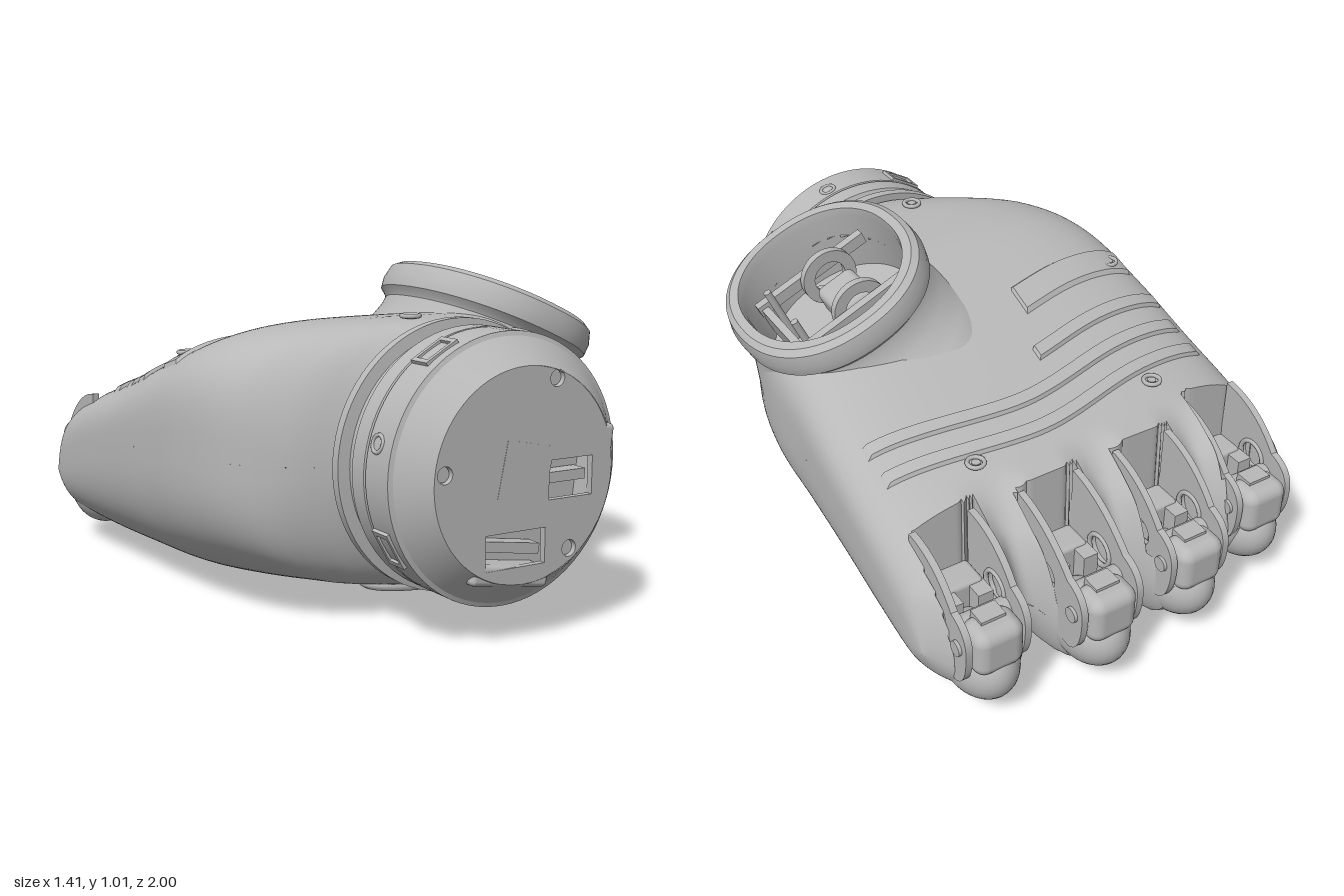
import * as THREE from 'three';
import { toCreasedNormals } from 'three/addons/utils/BufferGeometryUtils.js';
import { RoundedBoxGeometry } from 'three/addons/geometries/RoundedBoxGeometry.js';

// Smooth lookup in rows of [key, ...values] with rising keys
function lookup(rows, k) {
  const n = rows.length - 1;
  k = Math.min(Math.max(k, rows[0][0]), rows[n][0]);
  let i = 0;
  while (i < n - 1 && k > rows[i + 1][0]) i++;
  const a = rows[i], b = rows[i + 1], p = rows[Math.max(i - 1, 0)], q = rows[Math.min(i + 2, n)];
  const h = b[0] - a[0], t = (k - a[0]) / h, t2 = t * t, t3 = t2 * t;
  return a.slice(1).map((v, j) => {
    const w = b[j + 1];
    const ma = (w - p[j + 1]) / (b[0] - p[0]) * h, mb = (q[j + 1] - v) / (q[0] - a[0]) * h;
    return v * (2 * t3 - 3 * t2 + 1) + ma * (t3 - 2 * t2 + t) + w * (3 * t2 - 2 * t3) + mb * (t3 - t2);
  });
}

// Surface from a point rule f(u, v), with an optional rule for leaving cells out
function grid(nu, nv, f, skip) {
  const pos = [], idx = [];
  for (let j = 0; j <= nv; j++) for (let i = 0; i <= nu; i++) pos.push(...f(i / nu, j / nv));
  for (let j = 0; j < nv; j++) for (let i = 0; i < nu; i++) {
    const a = j * (nu + 1) + i, b = a + 1, c = a + nu + 1, d = c + 1;
    if (skip && skip(pos.slice(a * 3, a * 3 + 3))) continue;
    idx.push(a, b, d, a, d, c);
  }
  const g = new THREE.BufferGeometry();
  g.setAttribute('position', new THREE.Float32BufferAttribute(pos, 3));
  g.setIndex(idx);
  return toCreasedNormals(g, 0.6);
}
const smooth = t => { t = Math.min(1, Math.max(0, t)); return t * t * (3 - 2 * t); };

// Palm sections: z, right edge, left edge, bottom, top, seam height, squareness
const SECTIONS = [
  [-0.97, -0.64, 0.62, 0.10, 0.30, 0.20, 3.0], [-0.82, -0.675, 0.65, 0.055, 0.45, 0.23, 3.0],
  [-0.70, -0.70, 0.67, 0.03, 0.545, 0.29, 3.2], [-0.50, -0.705, 0.67, 0.008, 0.60, 0.36, 3.6],
  [-0.25, -0.70, 0.66, 0.005, 0.67, 0.42, 3.7], [0, -0.69, 0.65, 0.012, 0.765, 0.46, 3.8],
  [0.25, -0.67, 0.64, 0.045, 0.85, 0.48, 3.7], [0.45, -0.61, 0.585, 0.075, 0.87, 0.48, 3.3],
  [0.58, -0.49, 0.48, 0.085, 0.87, 0.48, 2.4], [0.64, -0.375, 0.395, 0.09, 0.86, 0.48, 2]];
// Fingers: x, start of the slot, tip
const FINGERS = [[-0.54, -0.51, -0.865], [-0.205, -0.61, -0.965], [0.14, -0.62, -1], [0.485, -0.59, -0.94]];

// Thumb socket plane, tilted outwards
const TILT = 0.41, CT = Math.cos(TILT), ST = Math.sin(TILT);
const SOCKET = [0.42, 0.895, 0.275], SA = 0.32, SB = 0.345;
function socketPoint(angle, scale, off, dz = 0) {
  const c = Math.cos(angle), s = Math.sin(angle), e = 0.9;
  const u = SA * scale * Math.sign(c) * Math.abs(c) ** e, w = SB * scale * Math.sign(s) * Math.abs(s) ** e;
  return [SOCKET[0] + u * CT + off * ST, SOCKET[1] - u * ST + off * CT, SOCKET[2] + w + dz];
}
function inSocket([x, y, z]) {
  const u = (x - SOCKET[0]) * CT - (y - SOCKET[1]) * ST;
  return y > 0.5 && (u / SA) ** 2 + ((z - SOCKET[2]) / SB) ** 2 < 0.87 ** 2;
}

// Lobe under each finger: how much of a lobe there is at x, and where it ends
function lobe(x) {
  let t = 0, end = -0.76;
  for (const [fx, , tip] of FINGERS) {
    const outer = (x - fx) * fx > 0 && Math.abs(fx) > 0.4;
    const k = smooth((1 - Math.abs(x - fx) / (outer ? 0.21 : 0.168)) / 0.65);
    t = Math.max(t, outer ? 1 : k);
    end = Math.min(end, -0.76 + (tip + 0.815) * k);
  }
  return [t, end];
}
function topY(x, z) {
  const [l, r, , top, seam, n] = lookup(SECTIONS, z);
  const X = Math.min(1, Math.abs((x - (l + r) / 2) / ((r - l) / 2)));
  return seam + (top - seam) * (1 - X ** n) ** (1 / n);
}
// One half of the palm shell; the upper half has the finger slots sunk into it
function palmPoint(u, v, upper) {
  const X = -Math.cos(Math.PI * u), s = Math.sin(v * Math.PI / 2);
  const [t, end] = lobe(-0.015 + 0.685 * X);
  const z = 0.64 + (end - 0.64) * s;
  const [l, r, bottom, top, seam, n] = lookup(SECTIONS, z);
  const m = upper ? n : Math.min(n, 2.8);
  const x = (l + r) / 2 + X * (r - l) / 2;
  const round = s > 0.93 ? Math.sqrt(Math.max(0, 1 - ((s - 0.93) / 0.07) ** 2)) : 1;
  const dip = 1 - 0.4 * (1 - t) * smooth((-0.5 - z) / 0.25);
  let y = seam + ((upper ? top : bottom) - seam) * Math.max(0, 1 - Math.abs(X) ** m) ** (1 / m) * round * dip;
  if (upper && FINGERS.some(([fx, slot]) => Math.abs(x - fx) < 0.108 && z < slot)) y = Math.min(y, 0.23);
  return [x, y, z];
}

export function createModel() {
  const model = new THREE.Group();
  const grey = new THREE.MeshStandardMaterial({ color: 0xb8b8b8, side: THREE.DoubleSide });
  grey.name = 'plainGrey';
  const add = (name, geo, x = 0, y = 0, z = 0, parent = model) => {
    const m = new THREE.Mesh(geo, grey);
    m.name = name;
    m.position.set(x, y, z);
    parent.add(m);
    return m;
  };
  const circle = (x, y, r) => new THREE.Path().absarc(x, y, r, 0, Math.PI * 2, true);
  const rect = (x, y, w, h, T = THREE.Path) => new T([[-1, -1], [-1, 1], [1, 1], [1, -1]]
    .map(([a, b]) => new THREE.Vector2(x + a * w / 2, y + b * h / 2)));
  const extrude = (shape, depth) => new THREE.ExtrudeGeometry(shape, { depth, bevelEnabled: false, curveSegments: 24 });
  const rod = (r, len, axis) => {
    const g = new THREE.CylinderGeometry(r, r, len, 24);
    return axis === 'x' ? g.rotateZ(Math.PI / 2) : axis === 'z' ? g.rotateX(Math.PI / 2) : g;
  };

  // Palm shell
  add('palmTop', grid(170, 90, (u, v) => palmPoint(u, v, true), inSocket));
  add('palmUnderside', grid(110, 70, (u, v) => palmPoint(1 - u, v, false)));
  add('palmEndCap', new THREE.CircleGeometry(0.385, 64), 0.01, 0.475, 0.638);

  // Raised strips on the back of the hand: z shift, start x, end x, width, height
  const WAVE = [[-0.66, 0.12], [-0.35, 0.085], [0, 0.01], [0.2, 0.01], [0.64, 0.07]];
  for (const [base, x0, x1, w, h] of [[-0.46, -0.64, 0.58, 0.055, 0.012], [-0.35, -0.64, 0.58, 0.055, 0.012],
    [-0.235, -0.64, -0.08, 0.055, 0.012], [-0.055, -0.62, -0.14, 0.12, 0.012]]) {
    add('backStrip', grid(50, 7, (u, v) => {
      const edge = u === 0 || u === 1 || v === 0 || v === 1;
      const x = x0 + (x1 - x0) * u, z = base + lookup(WAVE, x)[0] + w * (0.5 - v);
      return [x, topY(x, z) + (edge ? -0.008 : h), z];
    }));
  }
  for (const [x, z] of [[-0.37, -0.44], [0.31, -0.49], [-0.55, 0.05], [-0.07, 0.55]]) {
    add('screwRim', new THREE.TorusGeometry(0.026, 0.007, 8, 24).rotateX(Math.PI / 2), x, topY(x, z) + 0.008, z);
    add('screwHead', rod(0.014, 0.02), x, topY(x, z), z);
  }

  // Thumb socket: liner, rim, groove and flared neck as [scale, height, z shift]
  const RIM = [[0.8, -0.3], [0.82, -0.03], [0.84, 0], [0.93, 0], [0.99, -0.015], [1.02, -0.055], [1.01, -0.09],
    [0.96, -0.105], [0.94, -0.115], [0.95, -0.14], [0.99, -0.19, -0.01], [1.07, -0.25, -0.035],
    [1.2, -0.33, -0.09], [1.16, -0.43, -0.15], [0.95, -0.5, -0.2]];
  add('thumbSocket', grid(72, RIM.length - 1, (u, v) =>
    socketPoint(-u * Math.PI * 2, ...RIM[Math.round(v * (RIM.length - 1))])));
  add('thumbSocketFloor', grid(48, 1, (u, v) => socketPoint(u * Math.PI * 2, 0.82 * v, -0.25)));
  const joint = new THREE.Group();
  joint.name = 'thumbJoint';
  joint.position.set(...SOCKET);
  joint.rotation.z = -TILT;
  model.add(joint);
  const cheek = new THREE.Shape().absarc(0, 0, 0.095, 0, Math.PI * 2);
  cheek.holes.push(circle(0, 0, 0.055));
  for (const s of [-1, 1]) {
    add('jointRing', extrude(cheek, 0.025), -0.04, -0.12, s * 0.11 - 0.0125, joint);
    add('jointRail', new THREE.BoxGeometry(0.42, 0.04, 0.03), 0, -0.1, s * 0.15, joint);
    add('jointPost', rod(0.012, 0.22), 0.16, -0.13, s * 0.1, joint);
    add('jointScrew', rod(0.03, 0.02), 0, -0.24, s * 0.21, joint);
  }
  add('jointBlock', new RoundedBoxGeometry(0.14, 0.1, 0.17, 3, 0.025), -0.04, -0.16, 0, joint);
  add('jointSidePlate', new THREE.BoxGeometry(0.025, 0.13, 0.36), 0.19, -0.16, 0, joint);

  // Finger roots: side plates, pivots, knuckle and rounded pad
  for (const [fx, slot, tip] of FINGERS) {
    const finger = new THREE.Group();
    finger.name = 'fingerRoot';
    finger.position.x = fx;
    model.add(finger);
    const s = -slot, e = -tip, mid = s + 0.15;
    const plate = new THREE.Shape();
    plate.moveTo(s, 0.2);
    plate.lineTo(s, topY(fx, slot) - 0.015);
    plate.quadraticCurveTo(s + 0.14, 0.54, e - 0.12, 0.42);
    plate.quadraticCurveTo(e - 0.04, 0.4, e - 0.04, 0.32);
    plate.quadraticCurveTo(e - 0.04, 0.2, e - 0.1, 0.18);
    plate.holes.push(circle(mid, 0.36, 0.05));
    for (const side of [-1, 1]) {
      add('fingerSidePlate', extrude(plate, 0.022).rotateY(Math.PI / 2), side * 0.097 - 0.011, 0, 0, finger);
      add('pivotRing', new THREE.TorusGeometry(0.05, 0.008, 8, 28).rotateY(Math.PI / 2), side * 0.086, 0.36, -mid, finger);
      add('fingerPin', rod(0.024, 0.02, 'x'), side * 0.108, 0.32, tip + 0.085, finger);
      add('slotTab', new THREE.BoxGeometry(0.05, 0.12, 0.06), side * 0.05, 0.3, slot - 0.13, finger);
    }
    add('slotBlock', new RoundedBoxGeometry(0.15, 0.14, 0.1, 2, 0.015), 0, 0.3, slot - 0.06, finger);
    add('fingerAxle', rod(0.035, 0.17, 'x'), 0, 0.33, tip + 0.14, finger);
    add('knuckle', new RoundedBoxGeometry(0.16, 0.16, 0.12, 4, 0.04), 0, 0.3, tip + 0.075, finger);
    add('knuckleTab', new THREE.BoxGeometry(0.08, 0.03, 0.06), 0, 0.375, tip + 0.1, finger);
    add('fingerPad', new THREE.SphereGeometry(1, 32, 20).scale(0.108, 0.125, 0.15), 0, 0.185, tip + 0.15, finger);
  }

  // Wrist coupling
  const wrist = new THREE.Group();
  wrist.name = 'wrist';
  wrist.position.set(0.01, 0.48, 0);
  model.add(wrist);
  const profile = [[0.3, 0.63], [0.3, 0.65], [0.4, 0.65], [0.4, 0.68], [0.365, 0.685], [0.365, 0.72], [0.385, 0.73],
    [0.385, 0.79], [0.38, 0.793], [0.38, 0.797], [0.385, 0.8], [0.385, 0.91], [0.372, 0.915], [0.3, 1]];
  add('wristRing', toCreasedNormals(new THREE.LatheGeometry(profile.map(p => new THREE.Vector2(...p)), 80)
    .rotateX(Math.PI / 2), 0.4), 0, 0, 0, wrist);
  const face = new THREE.Shape().absarc(0, 0, 0.3, 0, Math.PI * 2);
  for (const [x, y] of [[0.1, 0.26], [-0.265, 0.03], [0.155, -0.22]]) {
    face.holes.push(circle(x, y, 0.024));
    add('faceScrew', rod(0.022, 0.02, 'z'), x, y, 0.975, wrist);
  }
  face.holes.push(rect(0.155, -0.02, 0.15, 0.11), rect(-0.03, -0.2, 0.2, 0.1));
  add('wristFace', extrude(face, 0.02), 0, 0, 0.979, wrist);
  add('wristInnerPlate', new THREE.CircleGeometry(0.34, 48), 0, 0, 0.92, wrist);
  add('facePlate', new THREE.BoxGeometry(0.16, 0.16, 0.006), 0.0, 0.01, 0.997, wrist).rotation.z = -0.2;
  add('faceLatch', new RoundedBoxGeometry(0.06, 0.24, 0.09, 2, 0.015), 0.27, 0, 0.953, wrist).rotation.z = -0.12;
  add('faceRib', new THREE.BoxGeometry(0.13, 0.03, 0.05), 0.16, -0.02, 0.95, wrist);
  add('faceBracket', new RoundedBoxGeometry(0.26, 0.06, 0.09, 2, 0.015), -0.04, -0.275, 0.953, wrist).rotation.z = -0.15;
  add('faceBracketRib', new THREE.BoxGeometry(0.2, 0.03, 0.05), -0.03, -0.2, 0.95, wrist).rotation.z = -0.15;

  // Windows and bolts in turn around the wrist band
  const frame = rect(0, 0, 0.115, 0.075, THREE.Shape);
  frame.holes.push(rect(0, 0, 0.085, 0.05));
  for (let i = 0; i < 8; i++) {
    const spot = new THREE.Group();
    spot.name = 'bandSpot';
    spot.rotation.z = i * Math.PI / 4 - 0.26;
    wrist.add(spot);
    if (i % 2) add('bandWindow', extrude(frame, 0.014).rotateX(-Math.PI / 2), 0, 0.377, 0.84, spot);
    else add('bandBolt', new THREE.TorusGeometry(0.024, 0.006, 8, 24).rotateX(Math.PI / 2), 0, 0.384, 0.84, spot);
  }

  // Oval port under the heel of the palm
  const port = new THREE.Group();
  port.name = 'heelPort';
  port.position.set(0.01, 0.085, 0.5);
  model.add(port);
  add('portRim', new THREE.TorusGeometry(0.17, 0.016, 10, 48).rotateX(Math.PI / 2).scale(1.15, 1, 0.6), 0, 0, 0, port);
  add('portRing', new THREE.TorusGeometry(0.11, 0.01, 8, 40).rotateX(Math.PI / 2).scale(1.15, 1, 0.6), 0, -0.008, 0, port);
  return model;
}
